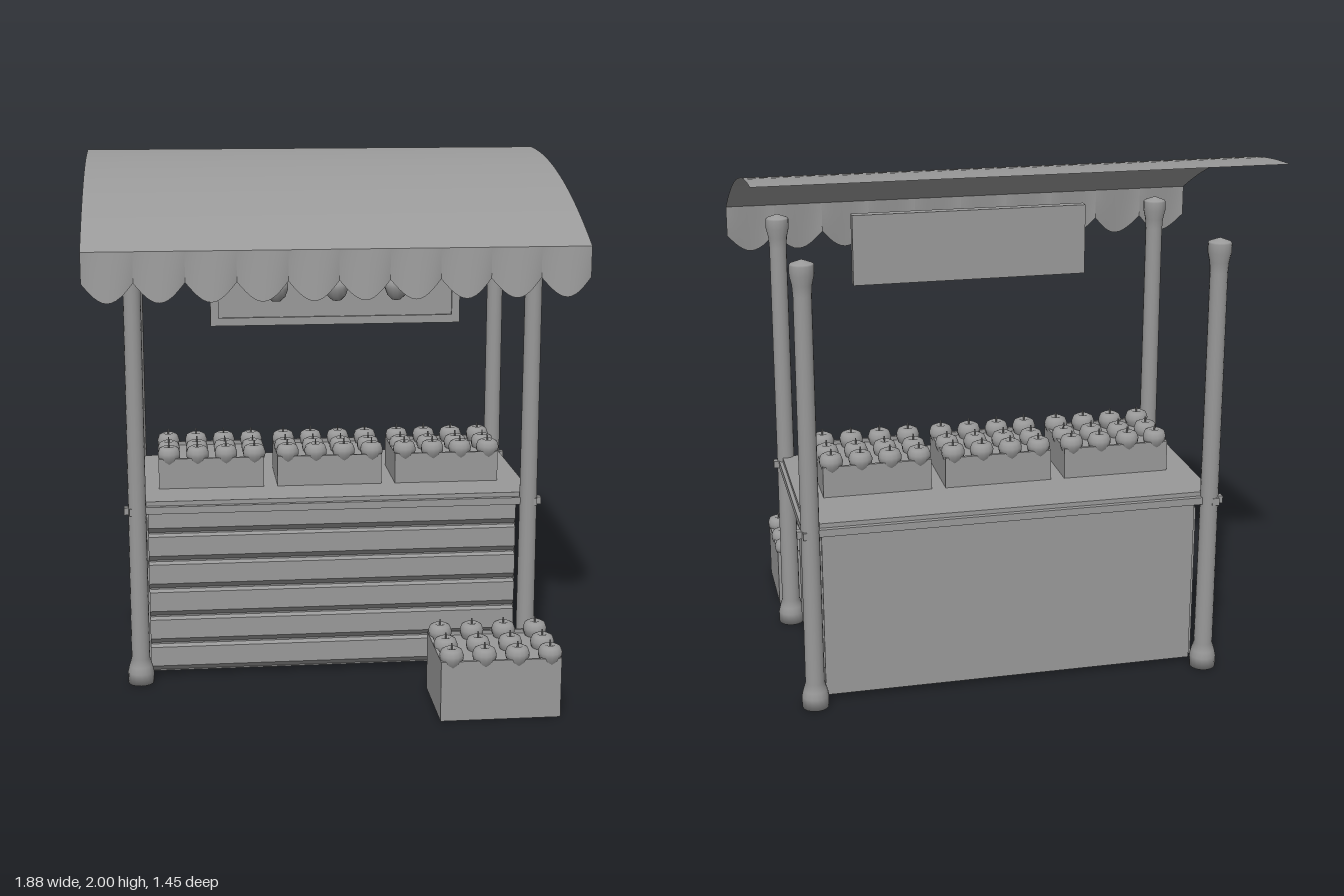
import * as THREE from 'three';

export function createModel() {
  const stall = new THREE.Group();
  stall.name = 'marketStall';
  const grey = new THREE.MeshStandardMaterial({ color: 0x999999 });
  grey.name = 'plain grey';
  const greyCloth = new THREE.MeshStandardMaterial({ color: 0x999999, side: THREE.DoubleSide });
  greyCloth.name = 'plain grey cloth';

  const add = (name, geometry, parent = stall, material = grey) => {
    const mesh = new THREE.Mesh(geometry, material);
    mesh.name = name;
    parent.add(mesh);
    return mesh;
  };
  // Box given by its limits on each axis
  const box = (name, x0, x1, y0, y1, z0, z1, parent) => {
    const mesh = add(name, new THREE.BoxGeometry(x1 - x0, y1 - y0, z1 - z0), parent);
    mesh.position.set((x0 + x1) / 2, (y0 + y1) / 2, (z0 + z1) / 2);
    return mesh;
  };
  const lathe = (points, sides) =>
    new THREE.LatheGeometry(points.map(([r, y]) => new THREE.Vector2(r, y)), sides);
  // Sheet whose point at (u, v) is given by a rule
  const sheet = (nu, nv, rule) => {
    const g = new THREE.PlaneGeometry(1, 1, nu, nv);
    const p = g.attributes.position;
    for (let i = 0; i < p.count; i++) p.setXYZ(i, ...rule(p.getX(i) + 0.5, 0.5 - p.getY(i)));
    g.computeVertexNormals();
    return g;
  };

  // Posts with flared feet and heads
  const postGeometry = lathe([
    [0, 0], [0.05, 0], [0.051, 0.045], [0.045, 0.07], [0.036, 0.1], [0.034, 0.8],
    [0.033, 1.58], [0.036, 1.62], [0.044, 1.655], [0.044, 1.69], [0.04, 1.695], [0, 1.71],
  ], 16);
  for (const x of [-0.76, 0.76]) {
    for (const z of [0.21, -0.545]) add('post', postGeometry).position.set(x, 0, z);
  }

  // Closed counter body with thin side panels
  box('counterBody', -0.715, 0.715, 0.02, 0.66, -0.51, 0.15);
  for (const s of [-1, 1]) {
    box('sidePanel', s * 0.72 - 0.005, s * 0.72 + 0.005, 0.03, 0.645, -0.5, 0.145);
  }

  // Front planks, chamfered along the lower edge
  const plankShape = new THREE.Shape([
    [0, 0], [0.028, 0.028], [0.028, 0.105], [0, 0.113],
  ].map(([z, y]) => new THREE.Vector2(z, y)));
  const plankGeometry = new THREE.ExtrudeGeometry(plankShape, { depth: 1.44, bevelEnabled: false });
  plankGeometry.rotateY(-Math.PI / 2);
  for (let i = 0; i < 6; i++) {
    add('frontPlank', plankGeometry).position.set(0.72, 0.02 + i * 0.1125, 0.145);
  }

  // Counter top and the rails around it
  box('counterTop', -0.775, 0.775, 0.7, 0.725, -0.54, 0.2);
  for (const z of [0.205, -0.545]) box('longRail', -0.81, 0.81, 0.68, 0.708, z - 0.014, z + 0.014);
  for (const x of [-0.775, 0.775]) box('sideRail', x - 0.014, x + 0.014, 0.68, 0.708, -0.58, 0.24);

  // Fruit with a dimpled top and a short stem
  const fruitGeometry = lathe([
    [0, -0.04], [0.016, -0.045], [0.034, -0.028], [0.044, 0], [0.045, 0.015],
    [0.038, 0.034], [0.022, 0.042], [0.01, 0.037], [0, 0.03],
  ], 14);
  const stemGeometry = new THREE.CylinderGeometry(0.003, 0.003, 0.03, 6);
  const fruit = (x, y, z, parent) => {
    const g = new THREE.Group();
    g.name = 'fruit';
    g.position.set(x, y, z);
    add('fruitFlesh', fruitGeometry, g);
    add('fruitStem', stemGeometry, g).position.y = 0.043;
    parent.add(g);
  };

  // Crate with a rim, a filled top and four by three fruits
  const crate = (cx, y, cz, w, h, d, stepX, stepZ) => {
    const g = new THREE.Group();
    g.name = 'crate';
    g.position.set(cx, y, cz);
    stall.add(g);
    const t = 0.012;
    box('crateFill', -w / 2 + t, w / 2 - t, 0.005, h - 0.015, -d / 2 + t, d / 2 - t, g);
    for (const s of [-1, 1]) {
      const x = s * (w - t) / 2, z = s * (d - t) / 2;
      box('crateLongSide', -w / 2, w / 2, 0, h, z - t / 2, z + t / 2, g);
      box('crateEnd', x - t / 2, x + t / 2, 0, h, -d / 2 + t, d / 2 - t, g);
    }
    for (let i = 0; i < 4; i++) {
      for (let j = 0; j < 3; j++) {
        const sink = j === 1 ? -0.006 : 0;
        fruit((i - 1.5) * stepX + 0.003, h + 0.002 + sink, (j - 1) * stepZ, g);
      }
    }
  };
  for (const x of [-0.468, 0, 0.468]) crate(x, 0.725, -0.137, 0.414, 0.12, 0.302, 0.112, 0.116);
  crate(0.565, 0, 0.552, 0.45, 0.23, 0.335, 0.123, 0.133);

  // Hanging sign: backing board, raised frame and three fruits
  box('signBoard', -0.47, 0.47, 1.41, 1.69, 0.205, 0.235);
  for (const s of [-1, 1]) {
    const y = 1.55 + s * 0.125;
    box('signFrameLong', -0.47, 0.47, y - 0.015, y + 0.015, 0.235, 0.245);
    box('signFrameEnd', s * 0.455 - 0.015, s * 0.455 + 0.015, 1.44, 1.66, 0.235, 0.245);
  }
  for (const x of [-0.225, 0, 0.225]) fruit(x, 1.55, 0.268, stall);

  // Curved canopy, level at the back and falling to the front
  add('canopy', sheet(1, 20, (u, v) =>
    [-0.94 + 1.88 * u, 2 - 0.02 * v - 0.27 * v * v, -0.72 + 1.1 * v]), stall, greyCloth);

  // Scalloped valance, each scallop bulging outward
  const scallopWidth = 0.188;
  const scallop = sheet(12, 4, (u, v) => {
    const bulge = Math.sin(Math.PI * u);
    return [scallopWidth * u, 1.71 - v * (0.115 + 0.07 * bulge), 0.38 + 0.025 * v * bulge];
  });
  for (let i = 0; i < 10; i++) {
    add('valanceScallop', scallop, stall, greyCloth).position.x = -0.94 + i * scallopWidth;
  }
  return stall;
}
